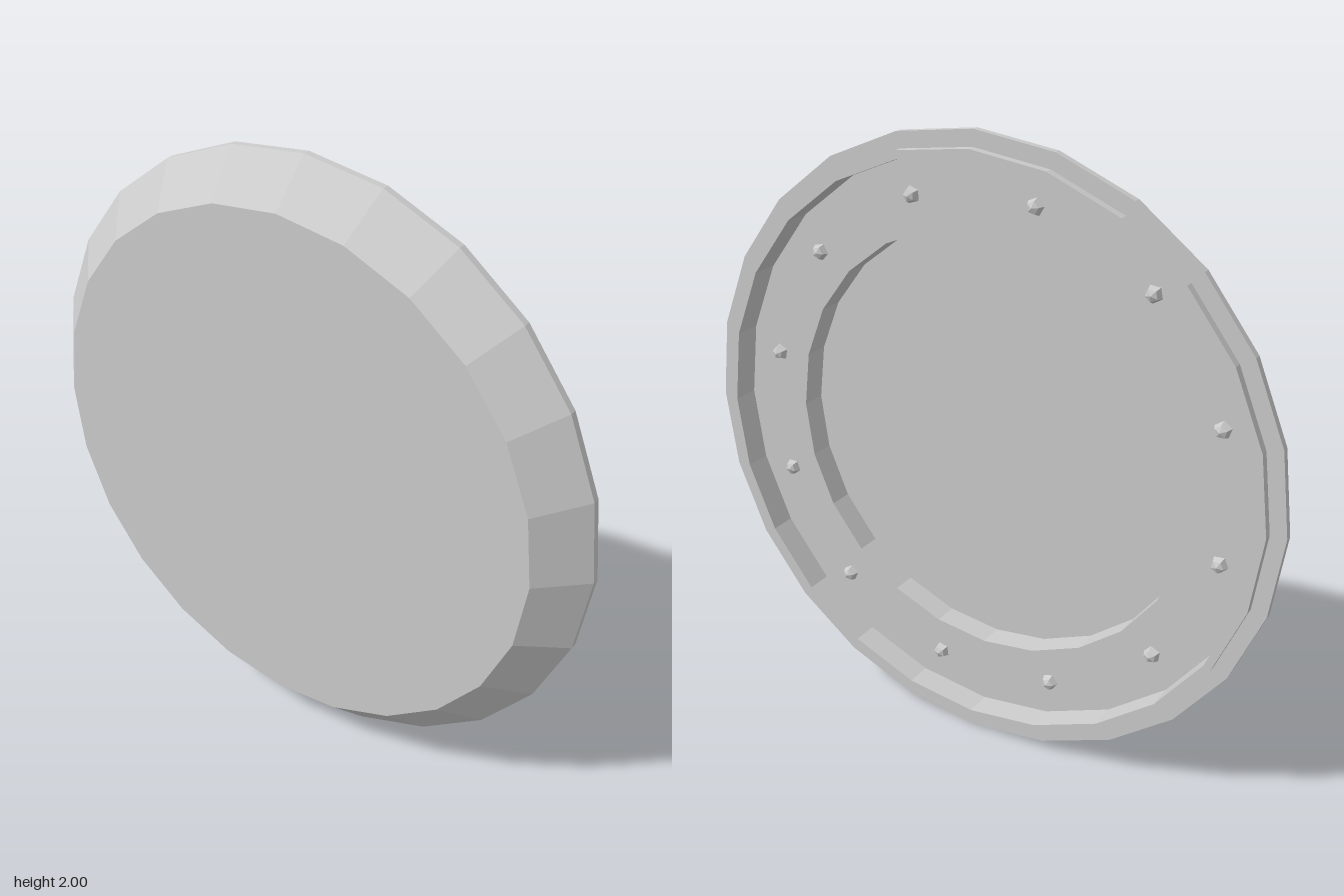
import * as THREE from 'three';

const SIDES = 24;

export function createModel() {
  const model = new THREE.Group();
  model.name = 'roundHatch';
  const grey = new THREE.MeshStandardMaterial({ color: 0xcccccc, flatShading: true });

  // Dish: back plate, sloped side, stepped rim, recessed ring and floor.
  // Each pair is [radius, position along the x axis].
  const profile = [
    [0, -0.09], [0.87, -0.09], [1, 0.037], [1, 0.06], [0.95, 0.06], [0.95, 0.087],
    [0.925, 0.087], [0.925, 0], [0.7, 0], [0.7, -0.082], [0, -0.082],
  ].map(([r, h]) => new THREE.Vector2(r, h));
  const dishGeometry = new THREE.LatheGeometry(profile, SIDES);
  dishGeometry.rotateZ(-Math.PI / 2); // lathe axis points along +x
  const dish = new THREE.Mesh(dishGeometry, grey);
  dish.name = 'dish';
  dish.position.y = 1;
  model.add(dish);

  // Twelve small low-poly rivets on the recessed ring
  const rivets = new THREE.Group();
  rivets.name = 'rivets';
  const rivetGeometry = new THREE.SphereGeometry(0.028, 5, 4);
  rivetGeometry.rotateZ(-Math.PI / 2);
  for (let i = 0; i < 12; i++) {
    const angle = THREE.MathUtils.degToRad(18 + i * 30);
    const rivet = new THREE.Mesh(rivetGeometry, grey);
    rivet.name = 'rivet';
    rivet.position.set(0, 1 + 0.81 * Math.cos(angle), 0.81 * Math.sin(angle));
    rivet.rotation.x = angle;
    rivets.add(rivet);
  }
  model.add(rivets);

  return model;
}
